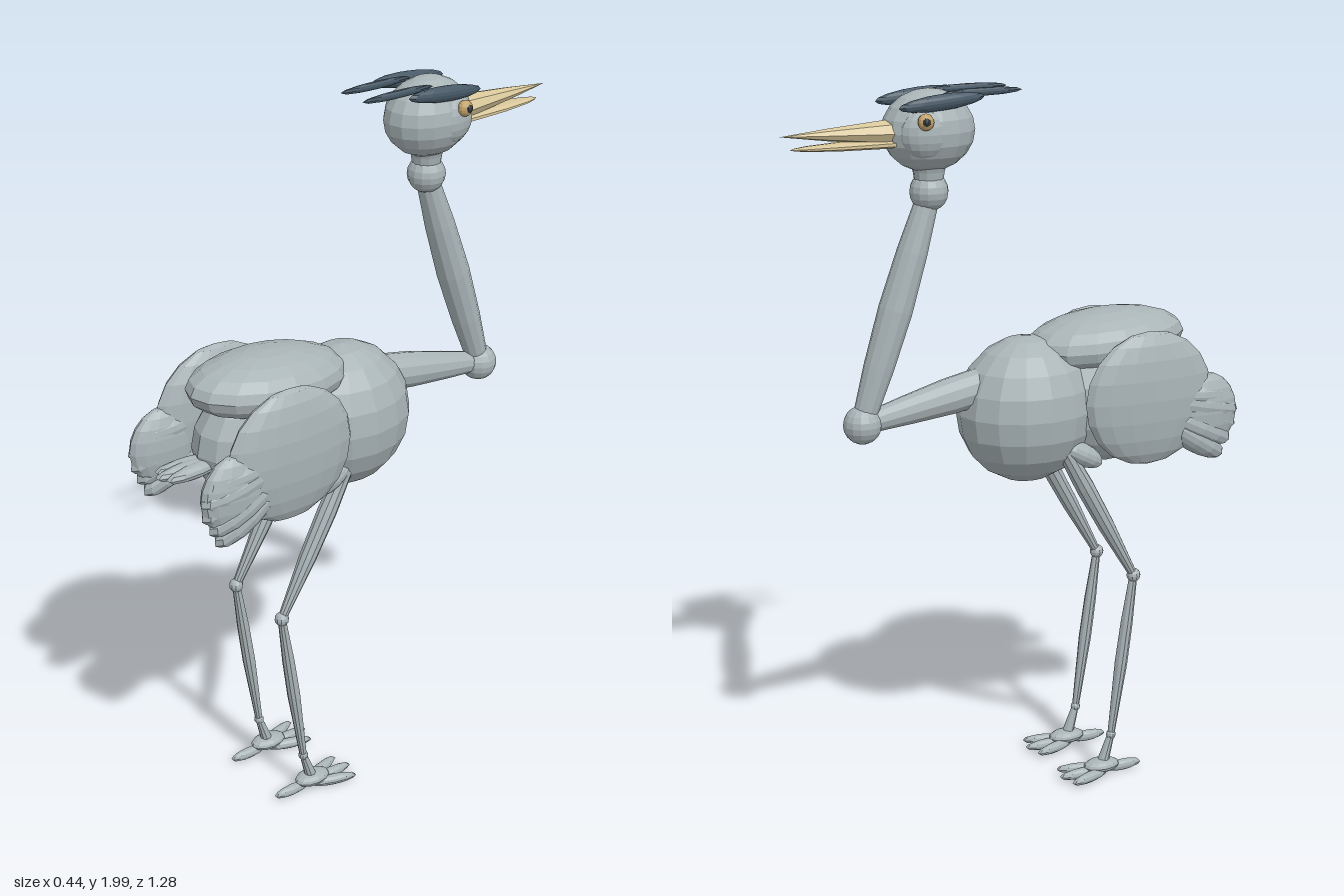
import * as THREE from 'three';

const paint = (name, color) => {
  const m = new THREE.MeshStandardMaterial({ color, flatShading: true });
  m.name = name;
  return m;
};

export function createModel() {
  const model = new THREE.Group();
  model.name = 'wadingBird';
  const plumage = paint('plumage grey', 0xa9b4b7);
  const slate = paint('crest slate', 0x465866);
  const horn = paint('bill tan', 0xd8c79b);
  const iris = paint('eye amber', 0xc2a26a);
  const black = paint('pupil dark', 0x2c353b);
  const V = (p) => new THREE.Vector3(...p);

  const add = (name, geo, mat) => {
    const mesh = new THREE.Mesh(geo, mat);
    mesh.name = name;
    model.add(mesh);
    return mesh;
  };
  // Faceted ellipsoid, poles along y
  const blob = (name, mat, c, r, rot = [0, 0, 0], w = 16, h = 10) => {
    const geo = new THREE.SphereGeometry(1, w, h).scale(...r);
    const mesh = add(name, geo, mat);
    mesh.position.set(...c);
    mesh.rotation.set(...rot);
    return mesh;
  };
  // Turned limb from a to b; profile lists [radius, fraction along the limb]
  const limb = (name, mat, a, b, profile, sides = 12, squash = 1) => {
    const A = V(a), d = V(b).sub(A), len = d.length();
    const geo = new THREE.LatheGeometry(profile.map(([r, t]) => new THREE.Vector2(r, t * len)), sides);
    geo.scale(1, 1, squash);
    const mesh = add(name, geo, mat);
    mesh.position.copy(A);
    mesh.quaternion.setFromUnitVectors(new THREE.Vector3(0, 1, 0), d.normalize());
    return mesh;
  };

  // Trunk
  blob('chest', plumage, [0, 1.105, 0.05], [0.167, 0.205, 0.2]);
  blob('body', plumage, [0, 1.115, 0.28], [0.15, 0.187, 0.235]);
  blob('mantle', plumage, [0, 1.275, 0.29], [0.145, 0.085, 0.24], [-0.06, 0, 0]);

  // Tail fan
  for (const k of [-1, 0, 1]) {
    blob('tailFeather', plumage, [k * 0.02, 1.09, 0.545 - Math.abs(k) * 0.015],
      [0.024, 0.02, 0.1], [0, k * 0.1, 0], 10, 6);
  }

  // Folded neck and throat
  limb('lowerNeck', plumage, [0, 1.185, -0.08], [0, 1.12, -0.43],
    [[0, 0], [0.052, 0], [0.05, 0.3], [0.04, 0.65], [0.028, 1], [0, 1]]);
  blob('neckBend', plumage, [0, 1.118, -0.435], [0.052, 0.052, 0.052], [0, 0, 0], 14, 10);
  limb('upperNeck', plumage, [0, 1.12, -0.435], [0, 1.72, -0.235],
    [[0, 0], [0.03, 0], [0.041, 0.25], [0.046, 0.5], [0.041, 0.75], [0.03, 1], [0, 1]]);
  blob('neckTop', plumage, [0, 1.727, -0.235], [0.052, 0.052, 0.052], [0, 0, 0], 14, 10);
  limb('throat', plumage, [0, 1.74, -0.235], [0, 1.82, -0.235],
    [[0, 0], [0.036, 0], [0.042, 0.5], [0.055, 1], [0, 1]]);

  // Head and bill
  blob('head', plumage, [0, 1.887, -0.235], [0.1, 0.108, 0.126]);
  limb('upperBill', horn, [0, 1.888, -0.32], [0, 1.895, -0.642],
    [[0, 0], [0.047, 0], [0.042, 0.15], [0.022, 0.6], [0, 1]], 8, 0.72);
  limb('lowerBill', horn, [0, 1.861, -0.32], [0, 1.86, -0.615],
    [[0, 0], [0.046, 0], [0.042, 0.25], [0.036, 0.55], [0.022, 0.85], [0.01, 0.96], [0, 1]], 10, 0.3);

  // Paired parts
  for (const s of [1, -1]) {
    // Face
    blob('cheek', plumage, [s * 0.06, 1.887, -0.27], [0.04, 0.066, 0.068], [0, s * 0.2, 0]);
    blob('eye', iris, [s * 0.096, 1.922, -0.283], [0.018, 0.022, 0.022], [0, 0, 0], 12, 8);
    blob('pupil', black, [s * 0.106, 1.923, -0.286], [0.011, 0.012, 0.012], [0, 0, 0], 10, 6);
    // Crest
    blob('browPlume', slate, [s * 0.078, 1.967, -0.23], [0.017, 0.021, 0.12], [-0.08, 0, 0], 12, 8);
    blob('longPlume', slate, [s * 0.046, 1.983, -0.1], [0.009, 0.011, 0.117], [0, 0, 0], 10, 6);

    // Wing with fanned flight feathers
    blob('wing', plumage, [s * 0.17, 1.14, 0.34], [0.048, 0.188, 0.195]);
    blob('wingTip', plumage, [s * 0.17, 1.08, 0.51], [0.042, 0.113, 0.108]);
    for (let i = 0; i < 5; i++) {
      blob('flightFeather', plumage, [s * (0.17 + (i % 2) * 0.004), 1.13 - i * 0.03, 0.515 - Math.abs(i - 1.5) * 0.013],
        [0.04, 0.04, 0.115], [0.1 + i * 0.12, 0, 0], 12, 8);
    }

    // Leg
    const x = s * 0.11, knee = [x, 0.605, 0.335], ankle = [x, 0.125, 0.27];
    blob('hip', plumage, [s * 0.105, 0.985, 0.165], [0.035, 0.032, 0.075], [0.5, 0, 0], 12, 8);
    limb('thigh', plumage, [s * 0.107, 1.01, 0.11], knee,
      [[0, 0], [0.022, 0], [0.027, 0.3], [0.024, 0.6], [0.012, 1], [0, 1]], 10);
    blob('knee', plumage, knee, [0.02, 0.02, 0.02], [0, 0, 0], 10, 8);
    limb('shin', plumage, knee, ankle,
      [[0, 0], [0.011, 0], [0.017, 0.3], [0.018, 0.55], [0.01, 1], [0, 1]], 10);
    blob('ankle', plumage, ankle, [0.014, 0.014, 0.014], [0, 0, 0], 10, 8);
    limb('instep', plumage, ankle, [x, 0.03, 0.24], [[0, 0], [0.01, 0], [0.018, 1], [0, 1]], 10);

    // Foot: three front toes and one hind toe
    blob('footPad', plumage, [x, 0.036, 0.24], [0.035, 0.02, 0.055], [0, 0, 0], 12, 8);
    for (const k of [-1, 0, 1]) {
      blob('frontToe', plumage, [x + k * 0.032, 0.022, 0.175 + Math.abs(k) * 0.012],
        [0.016, 0.015, 0.07], [0, -k * 0.3, 0], 10, 6);
    }
    blob('hindToe', plumage, [x, 0.022, 0.31], [0.015, 0.016, 0.06], [0, 0, 0], 10, 6);
  }
  return model;
}
